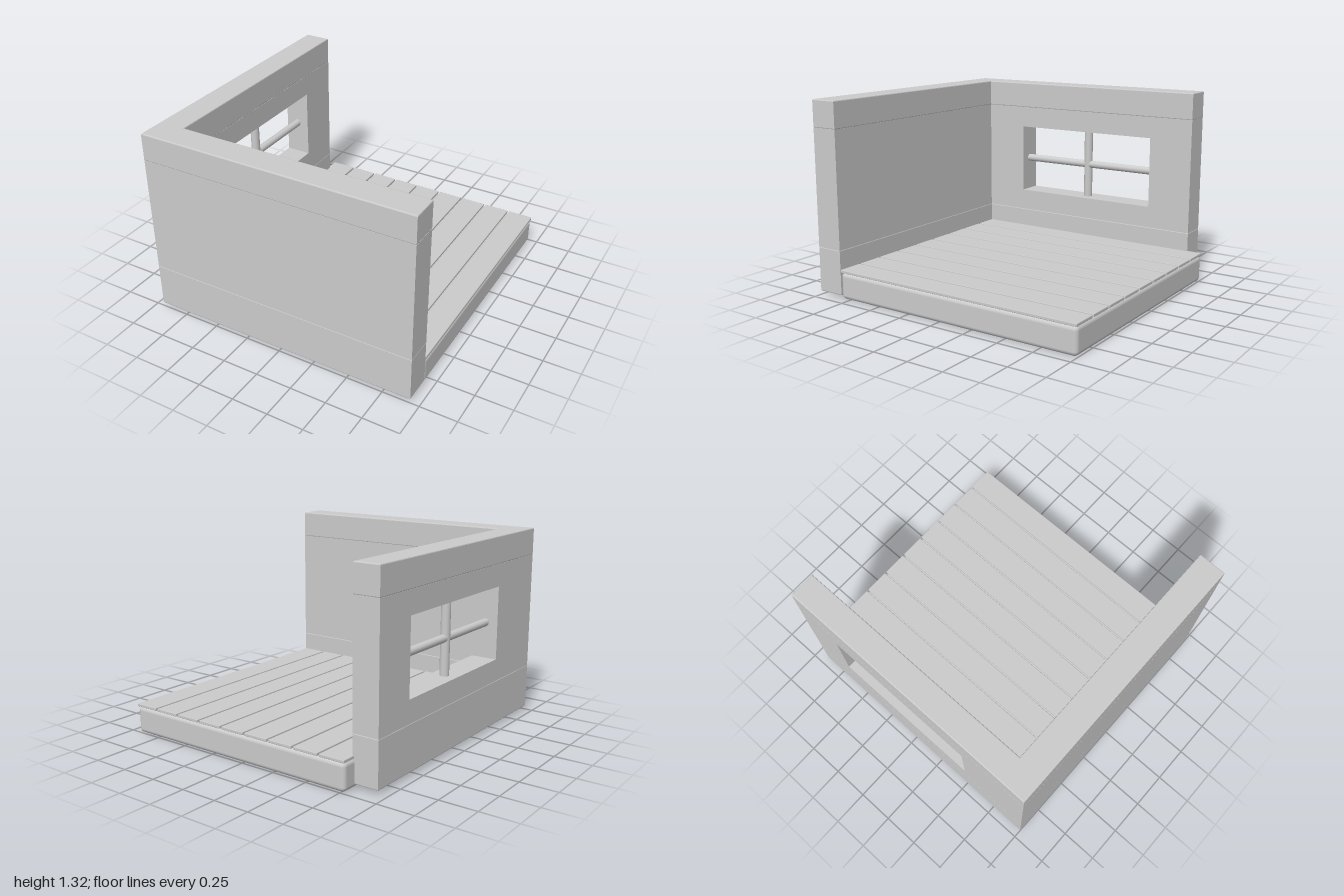
import * as THREE from 'three';
import { RoundedBoxGeometry } from 'three/addons/geometries/RoundedBoxGeometry.js';

const material = new THREE.MeshStandardMaterial({ color: 0xcccccc });

// Room limits: outer faces, inner faces and the free end of the window wall
const LEFT = -0.945, RIGHT = 0.94, FRONT = 1, BACK = -0.9;
const INNER_X = -0.765, INNER_Z = 0.81;
const FLOOR_BACK = -1;

export function createModel() {
  const group = new THREE.Group();

  const add = (name, geometry, x = 0, y = 0, z = 0) => {
    const mesh = new THREE.Mesh(geometry, material);
    mesh.name = name;
    mesh.position.set(x, y, z);
    group.add(mesh);
    return mesh;
  };

  // Rounded box given by its limits on each axis
  const block = (name, [x0, x1], [y0, y1], [z0, z1], radius, segments = 2) =>
    add(name, new RoundedBoxGeometry(x1 - x0, y1 - y0, z1 - z0, segments, radius),
      (x0 + x1) / 2, (y0 + y1) / 2, (z0 + z1) / 2);

  // L-shaped wall bands with softened edges, below and above the wall panels
  const wallBand = (name, y0, y1) => {
    const b = 0.007;
    const outline = [
      [LEFT + b, -FRONT + b], [RIGHT - b, -FRONT + b], [RIGHT - b, -INNER_Z - b],
      [INNER_X - b, -INNER_Z - b], [INNER_X - b, -BACK - b], [LEFT + b, -BACK - b],
    ].map(([x, y]) => new THREE.Vector2(x, y));
    const geometry = new THREE.ExtrudeGeometry(new THREE.Shape(outline), {
      depth: y1 - y0 - 2 * b, bevelSize: b, bevelThickness: b, bevelSegments: 2,
    });
    geometry.rotateX(-Math.PI / 2);
    add(name, geometry, 0, y0 + b, 0);
  };
  wallBand('lowerWallBand', 0.025, 0.335);
  wallBand('upperWallBand', 1.135, 1.322);

  // Plain front wall panel between the bands
  add('frontWall', new THREE.BoxGeometry(RIGHT - LEFT, 0.804, FRONT - INNER_Z),
    (LEFT + RIGHT) / 2, 0.735, (FRONT + INNER_Z) / 2);

  // Side wall panel with the window opening
  const rect = (target, z0, z1, y0, y1) => {
    target.moveTo(z0, y0).lineTo(z1, y0).lineTo(z1, y1).lineTo(z0, y1).closePath();
    return target;
  };
  const win = { z0: -0.585, z1: 0.5, y0: 0.485, y1: 0.985 };
  const panel = rect(new THREE.Shape(), BACK, INNER_Z, 0.333, 1.137);
  panel.holes.push(rect(new THREE.Path(), win.z0, win.z1, win.y0, win.y1));
  const sideWall = new THREE.ExtrudeGeometry(panel, { depth: INNER_X - LEFT, bevelEnabled: false });
  sideWall.rotateY(-Math.PI / 2);
  add('windowWall', sideWall, INNER_X, 0, 0);

  // Window cross bars
  const barX = (LEFT + INNER_X) / 2;
  const midZ = (win.z0 + win.z1) / 2, midY = (win.y0 + win.y1) / 2;
  add('windowBarVertical',
    new THREE.CylinderGeometry(0.031, 0.031, win.y1 - win.y0, 16), barX, midY, midZ + 0.01);
  add('windowBarHorizontal',
    new THREE.CylinderGeometry(0.027, 0.027, win.z1 - win.z0, 16), barX, midY - 0.005, midZ)
    .rotation.x = Math.PI / 2;

  // Floor slab with rounded edges
  block('floorSlab', [-0.78, 0.937], [0, 0.184], [FLOOR_BACK, INNER_Z + 0.005], 0.03, 3);

  // Floor planks running front to back
  const count = 9, pitch = 0.1925, gap = 0.014;
  for (let i = 0; i < count; i++) {
    const x0 = -0.785 + i * pitch + gap / 2;
    const x1 = i === count - 1 ? 0.938 : x0 + pitch - gap;
    block('floorPlank', [x0, x1], [0.182, 0.202], [FLOOR_BACK, INNER_Z + 0.005], 0.004, 1);
  }

  return group;
}
